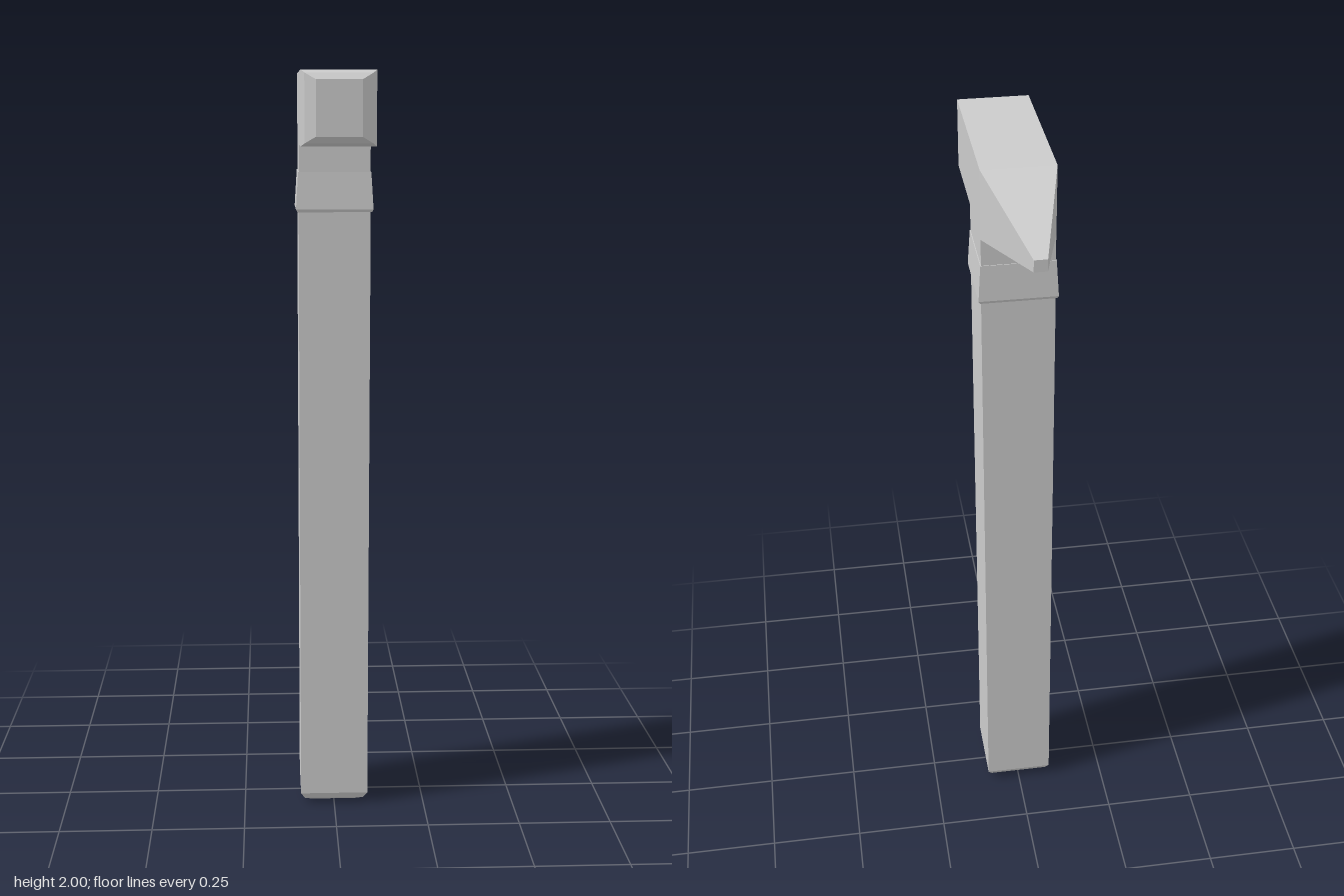
import * as THREE from 'three';

const material = new THREE.MeshStandardMaterial({ color: 0xcccccc, flatShading: true });

// Capped loft of rectangles stacked along y; each section is [y, halfX, zMin, zMax].
function loft(name, sections) {
  const rings = sections.map(([y, x, z0, z1]) => [[x, y, z1], [x, y, z0], [-x, y, z0], [-x, y, z1]]);
  const points = [];
  const quad = (a, b, c, d) => points.push(...a, ...b, ...c, ...a, ...c, ...d);
  for (let i = 0; i < rings.length - 1; i++) {
    const low = rings[i], high = rings[i + 1];
    for (let k = 0; k < 4; k++) {
      const n = (k + 1) % 4;
      quad(low[k], low[n], high[n], high[k]);
    }
  }
  const [a, b, c, d] = rings[0];
  quad(d, c, b, a);
  quad(...rings[rings.length - 1]);
  const geometry = new THREE.BufferGeometry();
  geometry.setAttribute('position', new THREE.Float32BufferAttribute(points, 3));
  geometry.computeVertexNormals();
  const mesh = new THREE.Mesh(geometry, material);
  mesh.name = name;
  return mesh;
}

export function createModel() {
  const group = new THREE.Group();
  group.name = 'hammer';

  // Slightly leaning square handle with a bevelled butt
  group.add(loft('handle', [
    [0, 0.06, -0.06, 0.07],
    [0.012, 0.082, -0.08, 0.09],
    [0.03, 0.093, -0.091, 0.1],
    [1.655, 0.093, -0.07, 0.123],
  ]));

  // Flared collar and the straight neck above it
  group.add(loft('collar', [
    [1.648, 0.096, -0.073, 0.127],
    [1.655, 0.1, -0.076, 0.13],
    [1.75, 0.094, -0.071, 0.125],
  ]));
  group.add(loft('neck', [
    [1.75, 0.092, -0.069, 0.126],
    [1.83, 0.092, -0.069, 0.126],
  ]));

  // Head lofted from wedge tip to bevelled striking face, then laid along z
  const head = loft('head', [
    [-0.388, 0.016, -0.015, 0.015],
    [-0.07, 0.092, -0.09, 0.09],
    [0.357, 0.092, -0.09, 0.09],
    [0.371, 0.083, -0.083, 0.083],
    [0.386, 0.056, -0.067, 0.067],
  ]);
  head.rotation.x = Math.PI / 2;
  head.position.y = 1.91;
  group.add(head);

  return group;
}
